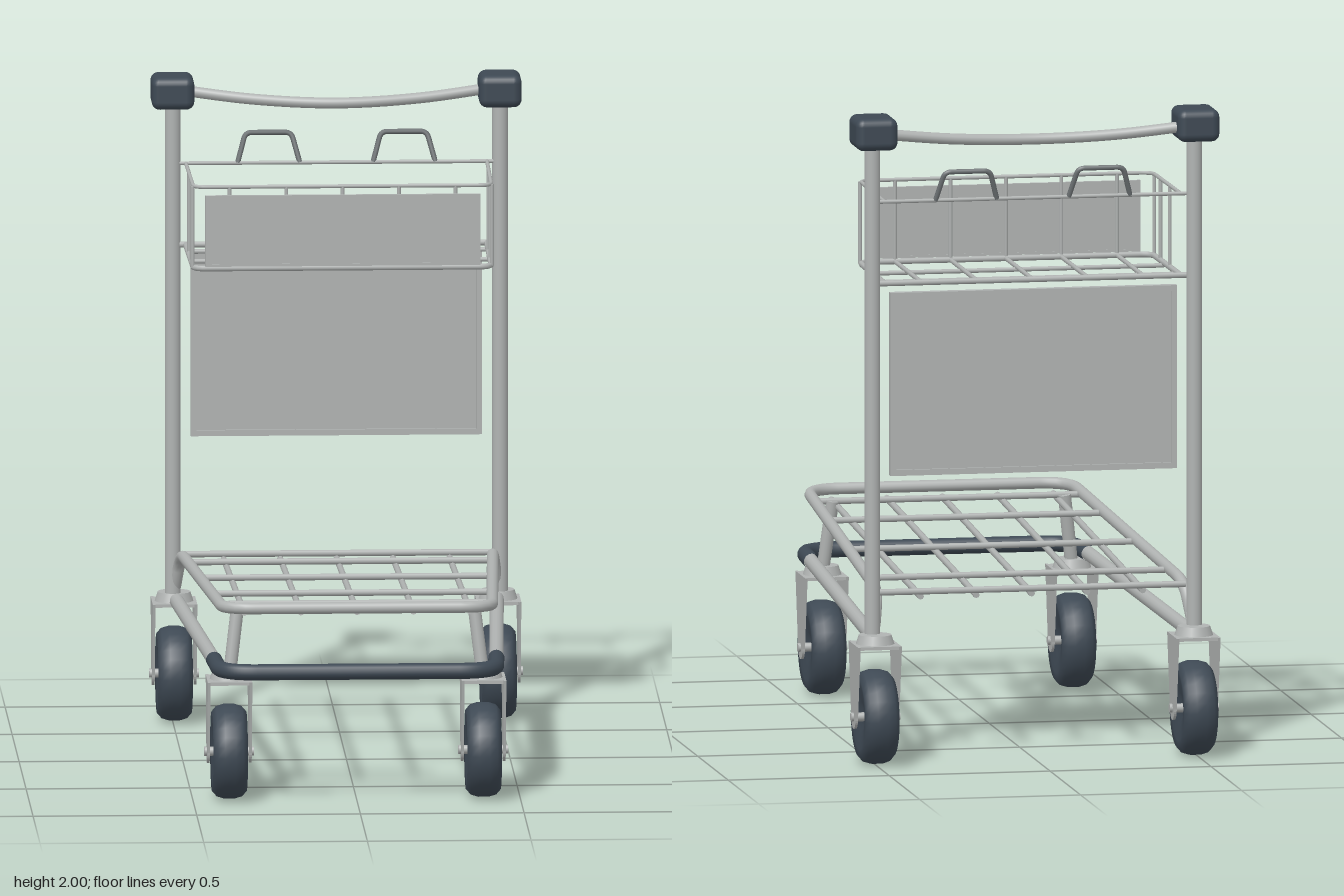
import * as THREE from 'three';
import { RoundedBoxGeometry } from 'three/addons/geometries/RoundedBoxGeometry.js';

const V = (x, y, z) => new THREE.Vector3(x, y, z);

export function createModel() {
  const root = new THREE.Group();
  const material = (name, color) => {
    const m = new THREE.MeshStandardMaterial({ color });
    m.name = name;
    return m;
  };
  const steel = material('steel', 0xb0b3b2);
  const rubber = material('dark rubber', 0x3e4954);
  const darkWire = material('dark wire', 0x6d7274);

  const add = (name, geometry, mat, parent = root) => {
    const mesh = new THREE.Mesh(geometry, mat);
    mesh.name = name;
    parent.add(mesh);
    return mesh;
  };

  // straight capped rod between two points
  const rod = (name, a, b, r, mat = steel, parent = root, sides = 8) => {
    const d = b.clone().sub(a);
    const mesh = add(name, new THREE.CylinderGeometry(r, r, d.length(), sides), mat, parent);
    mesh.position.copy(a).add(b).multiplyScalar(0.5);
    mesh.quaternion.setFromUnitVectors(V(0, 1, 0), d.normalize());
    return mesh;
  };

  // bent tube through corner points, each corner rounded off by a bend length
  const bentTube = (name, pts, r, bend, mat = steel, parent = root, sides = 10) => {
    const path = new THREE.CurvePath();
    let from = pts[0];
    for (let i = 1; i < pts.length - 1; i++) {
      const p = pts[i];
      const toward = (q) => {
        const d = q.clone().sub(p);
        return p.clone().addScaledVector(d, Math.min(0.45, bend / d.length()));
      };
      const a = toward(pts[i - 1]), b = toward(pts[i + 1]);
      path.add(new THREE.LineCurve3(from, a));
      path.add(new THREE.QuadraticBezierCurve3(a, p, b));
      from = b;
    }
    path.add(new THREE.LineCurve3(from, pts[pts.length - 1]));
    return add(name, new THREE.TubeGeometry(path, 140, r, sides, false), mat, parent);
  };

  // mirrored point list: right half reversed, then left half
  const mirror = (half) => [
    ...half.map(([x, y, z]) => V(-x, y, z)),
    ...half.slice().reverse().map(([x, y, z]) => V(x, y, z)),
  ];

  // upright posts with soft corner caps
  for (const s of [-1, 1]) {
    rod('post', V(s * 0.5, 0.38, -0.722), V(s * 0.5, 1.93, -0.722), 0.024, steel, root, 20);
    add('postCap', new RoundedBoxGeometry(0.13, 0.1, 0.15, 3, 0.025), rubber).position.set(s * 0.5, 1.95, -0.742);
  }

  // sagging push handle
  const handleCurve = new THREE.CatmullRomCurve3([
    V(-0.5, 1.95, -0.775), V(-0.25, 1.922, -0.742), V(0, 1.912, -0.722), V(0.25, 1.922, -0.742), V(0.5, 1.95, -0.775),
  ]);
  add('handle', new THREE.TubeGeometry(handleCurve, 32, 0.017, 12), steel);

  // lower frame rails and front bumper
  for (const s of [-1, 1]) {
    rod('lowerRail', V(s * 0.49, 0.378, -0.72), V(s * 0.43, 0.42, 0.66), 0.022, steel, root, 14);
  }
  bentTube('bumper', mirror([[0.431, 0.42, 0.63], [0.42, 0.42, 0.866]]), 0.025, 0.11, rubber, root, 14);

  // upper deck frame, its rear ends bent down to the posts
  const deckY = (z) => 0.612 + (z - 0.83) * 0.056;
  bentTube('deckFrame', mirror([
    [0.492, 0.42, -0.72], [0.476, deckY(-0.68), -0.68], [0.41, deckY(0.835), 0.835],
  ]), 0.018, 0.1, steel, root, 14);
  for (const s of [-1, 1]) {
    rod('frontStrut', V(s * 0.36, 0.6, 0.665), V(s * 0.388, 0.37, 0.69), 0.02, steel, root, 14);
  }

  // deck grid
  const deckGrid = new THREE.Group();
  deckGrid.name = 'deckGrid';
  root.add(deckGrid);
  for (const z of [-0.7, -0.48, -0.05, 0.385, 0.67]) {
    const x = 0.476 - (z + 0.68) * 0.0436, y = deckY(z) - 0.004;
    rod('deckCrossWire', V(-x, y, z), V(x, y, z), 0.01, steel, deckGrid);
  }
  const wireX = [-0.345, -0.172, 0, 0.172, 0.345];
  for (const x of wireX) {
    rod('deckLongWire', V(x, deckY(-0.7) - 0.02, -0.7), V(x, deckY(0.77) - 0.02, 0.77), 0.01, steel, deckGrid);
  }

  // back panel with a raised frame
  const framed = (name, w, h, y, z, border, depth) => {
    const g = new THREE.Group();
    g.name = name;
    g.position.set(0, y, z);
    root.add(g);
    add(name + 'Plate', new THREE.BoxGeometry(w - border, h - border, 0.008), steel, g);
    for (const s of [-1, 1]) {
      add(name + 'Edge', new THREE.BoxGeometry(w, border, depth), steel, g).position.y = s * (h - border) / 2;
      add(name + 'Side', new THREE.BoxGeometry(border, h, depth), steel, g).position.x = s * (w - border) / 2;
    }
  };
  framed('backPanel', 0.89, 0.565, 1.168, -0.722, 0.018, 0.026);
  framed('basketPanel', 0.84, 0.22, 1.596, -0.262, 0.008, 0.01);

  // wire basket
  const basket = new THREE.Group();
  basket.name = 'basket';
  root.add(basket);
  const zBack = -0.715, zFront = -0.275, top = 1.73, low = 1.478;
  for (const [y, r] of [[top, 0.006], [low, 0.009]]) {
    bentTube('basketRing', mirror([[0.46, y, zBack], [0.455, y, zFront]]), r, 0.04, steel, basket, 8);
    rod('basketBackWire', V(-0.48, y, zBack), V(0.48, y, zBack), r, steel, basket);
  }
  for (const s of [-1, 1]) {
    for (const z of [-0.295, -0.4, -0.55]) {
      rod('basketSideWire', V(s * 0.457, low, z), V(s * 0.457, top, z), 0.006, steel, basket);
    }
  }
  for (const x of wireX) {
    rod('basketFloorWire', V(x, low, zBack), V(x, low, zFront), 0.007, steel, basket);
    rod('basketFrontWire', V(x, low, zFront), V(x, top, zFront), 0.006, steel, basket);
  }
  for (const z of [-0.455, -0.635]) {
    rod('basketFloorCross', V(-0.457, low - 0.008, z), V(0.457, low - 0.008, z), 0.007, steel, basket);
  }
  // small loops standing on the back of the basket
  for (const s of [-1, 1]) {
    const c = s * 0.207;
    bentTube('basketLoop', [
      V(c - 0.095, top, -0.715), V(c - 0.07, 1.82, -0.738), V(c + 0.07, 1.82, -0.738), V(c + 0.095, top, -0.715),
    ], 0.008, 0.02, darkWire, basket, 8);
  }

  // casters: wheel, two tapered fork plates, bridge, swivel and axle
  const wheelProfile = [
    [0, -0.03], [0.03, -0.03], [0.045, -0.036], [0.1, -0.044], [0.122, -0.046], [0.138, -0.034], [0.145, -0.014],
    [0.145, 0.014], [0.138, 0.034], [0.122, 0.046], [0.1, 0.044], [0.045, 0.036], [0.03, 0.03], [0, 0.03],
  ].map(([r, y]) => new THREE.Vector2(r, y * 1.15));
  const wheelGeometry = new THREE.LatheGeometry(wheelProfile, 28).rotateZ(Math.PI / 2);
  const fork = new THREE.Shape();
  fork.moveTo(-0.08, 0.225);
  fork.lineTo(-0.036, 0.0);
  fork.absarc(0, 0, 0.036, Math.PI, Math.PI * 2, false);
  fork.lineTo(0.08, 0.225);
  fork.closePath();
  const forkGeometry = new THREE.ExtrudeGeometry(fork, { depth: 0.008, bevelEnabled: false, curveSegments: 8 })
    .translate(0, 0, -0.004).rotateY(Math.PI / 2);

  for (const s of [-1, 1]) {
    for (const [name, x, z] of [['frontCaster', 0.388, 0.69], ['rearCaster', 0.495, -0.745]]) {
      const g = new THREE.Group();
      g.name = name;
      g.position.set(s * x, 0.147, z);
      root.add(g);
      add('wheel', wheelGeometry, rubber, g);
      for (const t of [-1, 1]) add('forkPlate', forkGeometry, steel, g).position.x = t * 0.064;
      add('forkBridge', new THREE.BoxGeometry(0.136, 0.01, 0.15), steel, g).position.y = 0.22;
      add('swivel', new THREE.CylinderGeometry(0.05, 0.06, 0.03, 20), steel, g).position.y = 0.238;
      rod('axle', V(-0.076, 0, 0), V(0.076, 0, 0), 0.014, steel, g, 10);
    }
  }
  return root;
}
